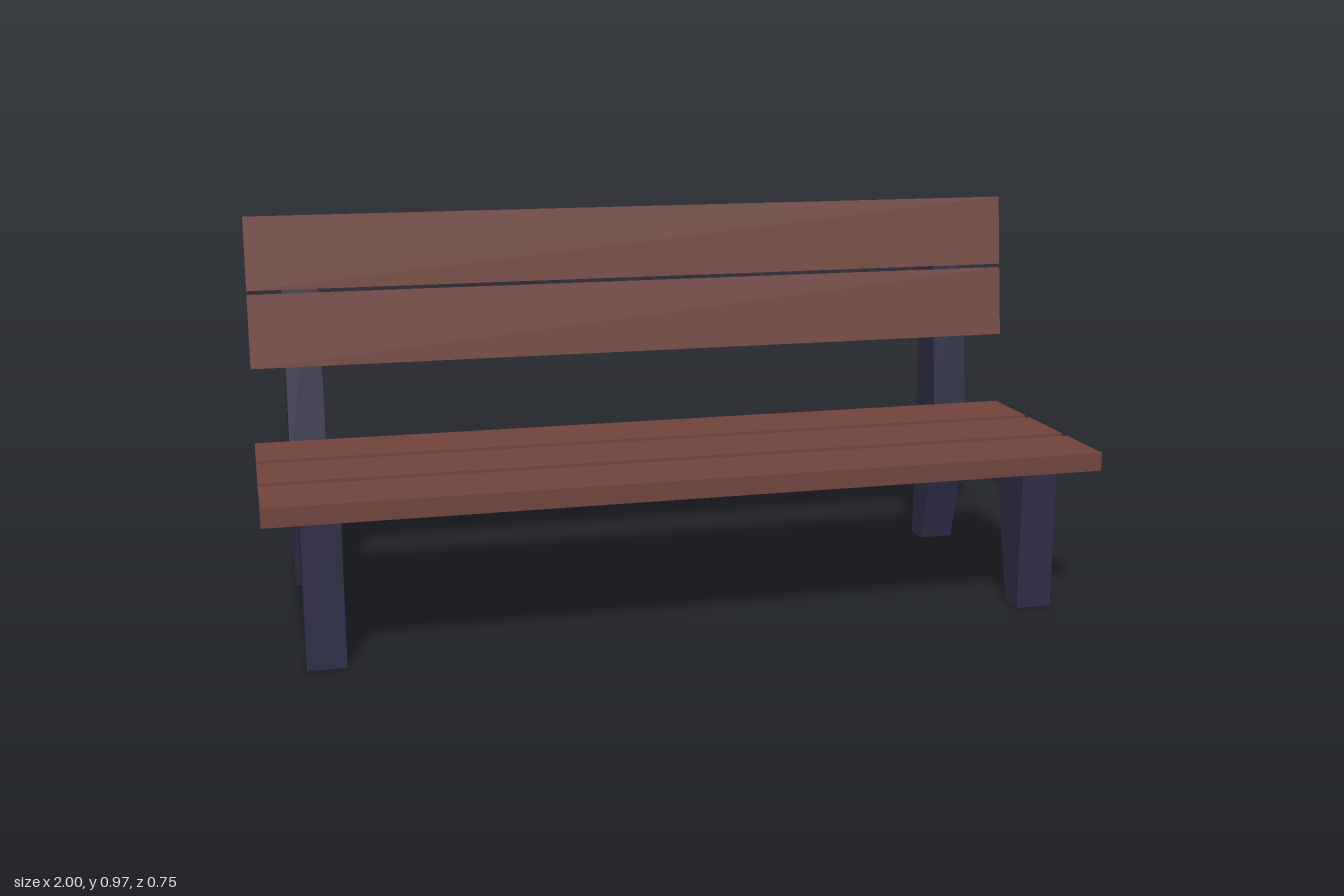
import * as THREE from 'three';

export function createModel() {
  const bench = new THREE.Group();
  bench.name = 'bench';

  const wood = new THREE.MeshStandardMaterial({ color: 0x70433c });
  wood.name = 'brown wood';
  const metal = new THREE.MeshStandardMaterial({ color: 0x2e2d46 });
  metal.name = 'dark blue frame';

  // Planks, all cut from the same board
  const plankGeometry = new THREE.BoxGeometry(2, 0.045, 0.182);
  function addPlank(name, y, z, tilt = 0) {
    const plank = new THREE.Mesh(plankGeometry, wood);
    plank.name = name;
    plank.position.set(0, y, z);
    plank.rotation.x = tilt;
    bench.add(plank);
  }

  // Seat
  for (let i = 0; i < 3; i++) addPlank('seatPlank', 0.383, 0.284 - i * 0.2115);

  // Backrest, leaning backwards
  const lean = Math.PI / 2 - 0.124;
  addPlank('lowerBackPlank', 0.6825, -0.256, lean);
  addPlank('upperBackPlank', 0.873, -0.2795, lean);

  // Side frame outline as (z, y): front leg, rail, back leg and back post
  const outline = [
    [0.31, 0], [0.31, 0.356], [-0.243, 0.356], [-0.309, 0.91], [-0.375, 0.91],
    [-0.375, 0], [-0.309, 0], [-0.243, 0.279], [0.178, 0.279], [0.244, 0],
  ];
  const shape = new THREE.Shape(outline.map(([z, y]) => new THREE.Vector2(z, y)));
  const width = 0.09;
  const frameGeometry = new THREE.ExtrudeGeometry(shape, { depth: width, bevelEnabled: false });
  frameGeometry.translate(0, 0, -width / 2);
  frameGeometry.rotateY(-Math.PI / 2);

  for (const side of [1, -1]) {
    const frame = new THREE.Mesh(frameGeometry, metal);
    frame.name = side > 0 ? 'leftFrame' : 'rightFrame';
    frame.position.x = side * 0.87;
    bench.add(frame);
  }

  return bench;
}
